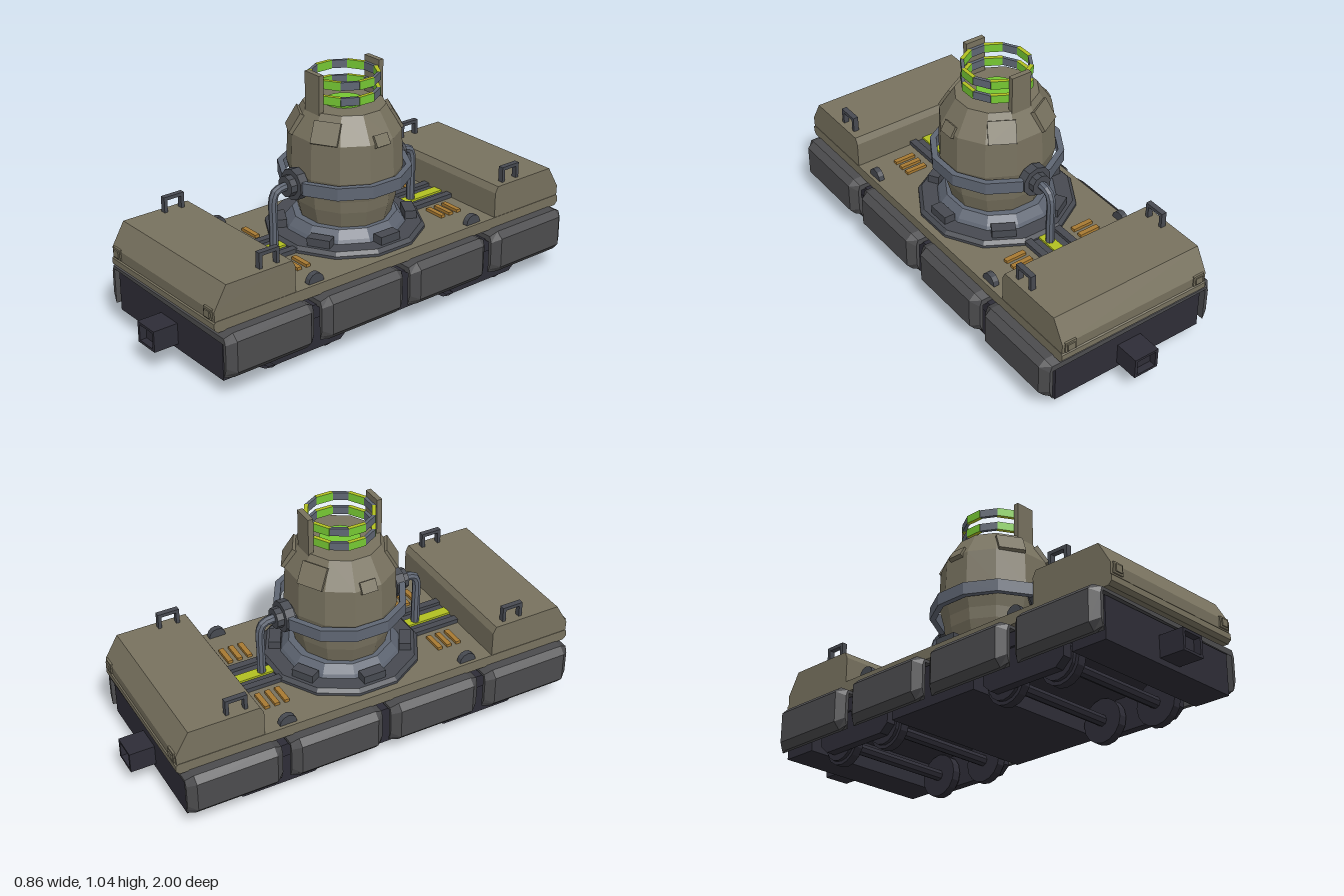
import * as THREE from 'three';

const paint = (name, color) => {
  const m = new THREE.MeshStandardMaterial({ color });
  m.name = name;
  return m;
};

export function createModel() {
  const olive = paint('olive hull', 0x78725f);
  const grey = paint('armour grey', 0x4c4c4e);
  const dark = paint('chassis dark', 0x2e2d37);
  const steel = paint('blue steel', 0x5f6673);
  const iron = paint('dark iron', 0x474a51);
  const green = paint('glow green', 0x76c833);
  const lime = paint('lime', 0xb2c021);
  const amber = paint('amber', 0xa87a32);

  const model = new THREE.Group();
  model.name = 'reactorWagon';

  // Faceted mesh helper
  const add = (parent, name, geo, mat, x = 0, y = 0, z = 0) => {
    const g = geo.index ? geo.toNonIndexed() : geo;
    g.computeVertexNormals();
    const mesh = new THREE.Mesh(g, mat);
    mesh.name = name;
    mesh.position.set(x, y, z);
    parent.add(mesh);
    return mesh;
  };
  // Box given by its minimum and maximum corners
  const box = (parent, name, mat, x0, x1, y0, y1, z0, z1) =>
    add(parent, name, new THREE.BoxGeometry(x1 - x0, y1 - y0, z1 - z0), mat,
      (x0 + x1) / 2, (y0 + y1) / 2, (z0 + z1) / 2);
  // Outline in (z, y) extruded across x
  const across = (pts, width) => new THREE.ExtrudeGeometry(
    new THREE.Shape(pts.map(p => new THREE.Vector2(...p))), { depth: width, bevelEnabled: false })
    .translate(0, 0, -width / 2).rotateY(-Math.PI / 2);
  // Twelve-sided turned part with flats on the axes
  const turned = pts => new THREE.LatheGeometry(pts.map(p => new THREE.Vector2(...p)), 12).rotateY(Math.PI / 12);
  const wheelGeo = (r, w, n) => new THREE.CylinderGeometry(r, r, w, n).rotateZ(Math.PI / 2);
  const spoke = (parent, name, angle) => {
    const g = new THREE.Group();
    g.name = name;
    g.rotation.y = angle;
    parent.add(g);
    return g;
  };

  // Chassis with open bays for the wheels
  const chassis = new THREE.Group();
  chassis.name = 'chassis';
  model.add(chassis);
  box(chassis, 'chassisFloor', dark, -0.365, 0.365, 0.19, 0.25, -0.89, 0.89);
  box(chassis, 'centreTank', dark, -0.365, 0.365, 0.075, 0.19, -0.23, 0.23);
  box(chassis, 'deckSpine', dark, -0.25, 0.25, 0.25, 0.29, -0.85, 0.85);

  // Deck slab with a bevelled lower edge
  add(model, 'deck', across([[-0.905, 0.285], [0.905, 0.285], [0.92, 0.3], [0.92, 0.325],
    [0.91, 0.333], [-0.91, 0.333], [-0.92, 0.325], [-0.92, 0.3]], 0.72), olive);

  // Arched side armour, four bays with bevelled ends
  const arch = [[0.385, 0.1], [0.402, 0.1], [0.428, 0.13], [0.428, 0.262], [0.4, 0.289]];
  const loop = [...arch, ...arch.map(([x, y]) => [-x, y]).reverse(), [-0.385, 0.258], [0.385, 0.258]];
  for (const zc of [-0.69, -0.23, 0.23, 0.69]) {
    const geo = new THREE.ExtrudeGeometry(new THREE.Shape(loop.map(p => new THREE.Vector2(...p))),
      { depth: 3, steps: 3, bevelEnabled: false });
    const p = geo.attributes.position;
    for (let i = 0; i < p.count; i++) {
      let x = p.getX(i), y = p.getY(i);
      const step = Math.round(p.getZ(i)), end = step === 0 || step === 3;
      if (end && Math.abs(x) > 0.39) {
        if (y > 0.26) y -= 0.018;
        if (y < 0.14) y += 0.015;
        x -= Math.sign(x) * 0.65 * (Math.abs(x) - 0.385);
      }
      p.setXYZ(i, x, y, [-0.21, -0.175, 0.175, 0.21][step]);
    }
    add(model, 'sideArmour', geo, grey, 0, 0, zc);
  }

  // Both halves of the wagon are alike
  for (const turn of [0, Math.PI]) {
    const half = spoke(model, turn ? 'rearHalf' : 'frontHalf', turn);
    box(half, 'endBeam', dark, -0.365, 0.365, 0.075, 0.19, 0.73, 0.89);

    // Hollow coupler
    const ring = new THREE.Shape([[-0.058, -0.046], [0.058, -0.046], [0.058, 0.046], [-0.058, 0.046]]
      .map(p => new THREE.Vector2(...p)));
    ring.holes.push(new THREE.Path([[-0.045, -0.035], [-0.045, 0.035], [0.045, 0.035], [0.045, -0.035]]
      .map(p => new THREE.Vector2(...p))));
    add(half, 'couplerMouth', new THREE.ExtrudeGeometry(ring, { depth: 0.03, bevelEnabled: false }),
      dark, 0, 0.145, 0.97);
    box(half, 'coupler', dark, -0.058, 0.058, 0.099, 0.191, 0.88, 0.97);

    // Hood
    add(half, 'hood', across([[0.535, 0.33], [0.915, 0.33], [0.917, 0.375], [0.86, 0.473],
      [0.55, 0.473], [0.535, 0.445]], 0.716), olive);

    // Wheels and axles
    for (const z of [0.337, 0.612]) {
      add(half, 'axle', wheelGeo(0.025, 0.62, 8), dark, 0, 0.095, z);
      for (const s of [-1, 1]) {
        add(half, 'wheel', wheelGeo(0.095, 0.038, 16), dark, s * 0.281, 0.095, z);
        add(half, 'wheelFlange', wheelGeo(0.08, 0.02, 16), dark, s * 0.305, 0.095, z);
      }
    }

    // Channel with glowing strip leading to the tank
    box(half, 'channelFloor', iron, -0.09, 0.09, 0.325, 0.337, 0.25, 0.535);
    box(half, 'glowStrip', lime, -0.023, 0.023, 0.33, 0.346, 0.25, 0.535);

    for (const s of [-1, 1]) {
      box(half, 'channelRail', iron, s * 0.074 - 0.016, s * 0.074 + 0.016, 0.33, 0.352, 0.25, 0.535);
      add(half, 'bogieFrame', across([[0.27, 0.08], [0.31, 0.045], [0.64, 0.045], [0.68, 0.08],
        [0.68, 0.2], [0.27, 0.2]], 0.04), dark, s * 0.335, 0, 0);
      // Headlight
      box(half, 'headlightFrame', olive, s * 0.32 - 0.026, s * 0.32 + 0.026, 0.336, 0.382, 0.87, 0.922);
      box(half, 'headlightLens', olive, s * 0.32 - 0.017, s * 0.32 + 0.017, 0.343, 0.373, 0.9, 0.927);
      // Grab handle
      const x0 = s * 0.325 - 0.012, x1 = s * 0.325 + 0.012;
      box(half, 'handleBar', iron, x0, x1, 0.526, 0.541, 0.594, 0.69);
      box(half, 'handlePost', iron, x0, x1, 0.47, 0.526, 0.594, 0.609);
      box(half, 'handlePost', iron, x0, x1, 0.47, 0.526, 0.675, 0.69);
      // Deck lug and vents
      add(half, 'deckLug', wheelGeo(0.038, 0.025, 12), iron, s * 0.333, 0.336, 0.423);
      for (const z of [0.365, 0.41, 0.455])
        box(half, 'deckVent', amber, s * 0.172 - 0.048, s * 0.172 + 0.048, 0.33, 0.346, z - 0.011, z + 0.011);
    }

    // Valve and feed pipe
    const valve = (r, z0, z1) => add(half, 'valve',
      new THREE.CylinderGeometry(r, r, z1 - z0, 10).rotateX(Math.PI / 2), iron, 0, 0.592, (z0 + z1) / 2);
    valve(0.045, 0.21, 0.31);
    valve(0.068, 0.24, 0.28);
    const path = new THREE.CatmullRomCurve3([[0.592, 0.28], [0.592, 0.33], [0.581, 0.36], [0.55, 0.372],
      [0.45, 0.372], [0.33, 0.372]].map(([y, z]) => new THREE.Vector3(0, y, z)));
    add(half, 'feedPipe', new THREE.TubeGeometry(path, 16, 0.019, 8), steel);

    // Cage post
    box(half, 'cagePost', olive, -0.046, 0.046, 0.87, 1.045, 0.145, 0.168);
  }

  // Turret base
  const turret = new THREE.Group();
  turret.name = 'turret';
  model.add(turret);
  add(turret, 'basePlate', turned([[0.34, 0.325], [0.34, 0.345], [0.325, 0.36], [0, 0.36]]), iron);
  add(turret, 'baseCollar', turned([[0.26, 0.355], [0.25, 0.375], [0.222, 0.41], [0, 0.41]]), steel);

  // Tank body
  const tank = add(turret, 'tank', turned([[0.2, 0.4], [0.222, 0.48], [0.228, 0.53], [0.252, 0.62],
    [0.245, 0.78], [0.178, 0.888], [0.09, 0.888], [0, 0.888]]), olive);
  tank.scale.z = 0.94;
  add(turret, 'glowCore', new THREE.CylinderGeometry(0.084, 0.084, 0.008, 24), green, 0, 0.89, 0);

  // Pipe ring around the tank
  add(turret, 'beltRing', turned([[0.256, 0.565], [0.282, 0.565], [0.282, 0.619], [0.256, 0.619],
    [0.256, 0.565]]), steel);

  // Six base clamps and shoulder plates
  for (let i = 0; i < 6; i++) {
    const arm = spoke(turret, 'clampArm', i * Math.PI / 3);
    box(arm, 'baseClamp', iron, 0.25, 0.3, 0.35, 0.395, -0.05, 0.05);
    const side = i % 3 === 0;
    const plate = add(arm, 'shoulderPlate', new THREE.BoxGeometry(0.03, side ? 0.05 : 0.095, side ? 0.07 : 0.115),
      olive, side ? 0.228 : 0.202, side ? 0.785 : 0.818, 0);
    plate.rotation.z = 0.53;
  }

  // Two segmented rings of the glow cage
  const glowFaces = [green, green, lime, lime, green, green];
  for (const y of [0.937, 1.003])
    for (let i = 0; i < 12; i++) {
      const arm = spoke(turret, 'cageSegment', i * Math.PI / 6);
      add(arm, i % 2 ? 'cageLink' : 'cageLight', new THREE.BoxGeometry(0.014, 0.034, 0.076), steel, 0.136, y, 0);
      if (i % 2 === 0) {
        const light = new THREE.Mesh(new THREE.BoxGeometry(0.017, 0.036, 0.076), glowFaces);
        light.name = 'cageGlow';
        light.position.set(0.136, y, 0);
        arm.add(light);
      }
    }
  return model;
}
